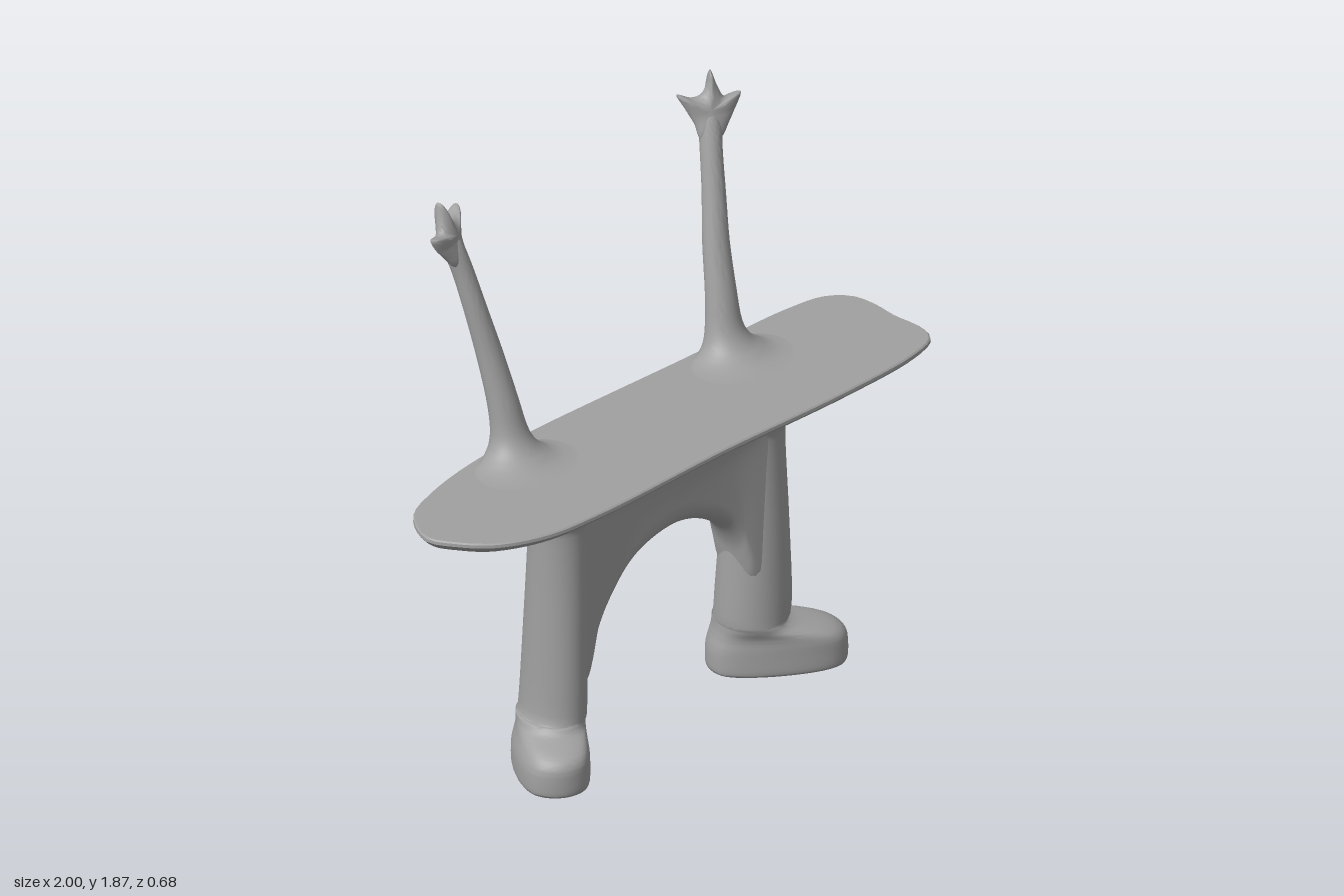
import * as THREE from 'three';
import { toCreasedNormals } from 'three/addons/utils/BufferGeometryUtils.js';

const material = new THREE.MeshStandardMaterial({ color: 0xa0a0a0 });
const V = (x, y, z) => new THREE.Vector3(x, y, z);

// Skin a stack of closed rings, cap both ends, and face the surface outwards
function loft(name, rings, crease = 1.2) {
  const n = rings[0].length, pts = rings.flat(), idx = [];
  for (let r = 0; r < rings.length - 1; r++) {
    for (let i = 0; i < n; i++) {
      const a = r * n + i, b = r * n + (i + 1) % n;
      idx.push(a, b, b + n, a, b + n, a + n);
    }
  }
  for (const end of [0, rings.length - 1]) {
    const centre = V(0, 0, 0);
    rings[end].forEach(p => centre.addScaledVector(p, 1 / n));
    const c = pts.push(centre) - 1;
    for (let i = 0; i < n; i++) {
      const a = end * n + i, b = end * n + (i + 1) % n;
      if (end) idx.push(a, b, c); else idx.push(b, a, c);
    }
  }
  let volume = 0;
  for (let i = 0; i < idx.length; i += 3) {
    volume += pts[idx[i]].dot(V(0, 0, 0).crossVectors(pts[idx[i + 1]], pts[idx[i + 2]]));
  }
  if (volume < 0) idx.reverse();
  const geo = new THREE.BufferGeometry().setFromPoints(pts);
  geo.setIndex(idx);
  const mesh = new THREE.Mesh(toCreasedNormals(geo, crease), material);
  mesh.name = name;
  return mesh;
}

// Smoothly subdivide rows of numbers
function refine(rows, steps = 4) {
  const out = [], at = i => rows[Math.min(Math.max(i, 0), rows.length - 1)];
  for (let i = 0; i < rows.length - 1; i++) {
    for (let s = 0; s < steps; s++) {
      const t = s / steps;
      out.push(at(i).map((p1, k) => {
        const p0 = at(i - 1)[k], p2 = at(i + 1)[k], p3 = at(i + 2)[k];
        const m1 = (p2 - p0) / 2, m2 = (p3 - p1) / 2;
        return p1 + m1 * t + (3 * (p2 - p1) - 2 * m1 - m2) * t * t
          + (2 * (p1 - p2) + m1 + m2) * t * t * t;
      }));
    }
  }
  out.push(at(rows.length - 1));
  return out;
}

// Oval ring; the half facing the toe is pushed out along (toeX, toeZ)
function oval(side, y, cx, cz, rx, rz, toeX = 0, toeZ = 0, n = 48) {
  const len = Math.hypot(toeX, toeZ) || 1;
  return Array.from({ length: n }, (_, i) => {
    const a = i / n * Math.PI * 2, c = Math.cos(a), s = Math.sin(a);
    const push = THREE.MathUtils.smoothstep((c * toeX + s * toeZ) / len, -0.8, 0.8);
    return V(side * (cx + rx * c + push * toeX), y, cz + rz * s + push * toeZ);
  });
}

// Long board with a sloping underside
function board() {
  const outline = [[-1, 0.07], [-0.93, -0.06], [-0.8, -0.12], [-0.56, -0.17], [-0.29, -0.18],
    [0.35, -0.17], [0.78, -0.167], [0.92, -0.14], [0.985, -0.075], [0.998, 0], [0.992, 0.09],
    [0.998, 0.21], [0.97, 0.275], [0.86, 0.312], [0.56, 0.33], [0.03, 0.324], [-0.5, 0.337],
    [-0.72, 0.317], [-0.88, 0.245], [-0.96, 0.155]];
  const curve = new THREE.CatmullRomCurve3(outline.map(([x, z]) => V(x, 0, z)), true);
  const profile = [[0.075, 0.937], [0.055, 0.943], [0.03, 0.958], [0.01, 0.974], [0, 0.986],
    [0.001, 0.996], [0.006, 1]];
  return loft('board', profile.map(([inset, y]) => Array.from({ length: 140 }, (_, i) => {
    const p = curve.getPointAt(i / 140), t = curve.getTangentAt(i / 140);
    return V(p.x - t.z * inset, y, p.z + t.x * inset);
  })), 0.6);
}

// Foot and leg in one skin. Rows: y, centre x, centre z, radius x, radius z, toe amount
function leg(name, side, heelX, toeX, shaft) {
  const foot = [[0, heelX, 0.055, 0.107, 0.107, 1], [0.012, heelX, 0.055, 0.115, 0.115, 1],
    [0.065, heelX, 0.055, 0.115, 0.115, 1], [0.095, heelX, 0.058, 0.111, 0.113, 0.97],
    [0.117, heelX, 0.061, 0.105, 0.111, 0.87], [0.133, heelX, 0.064, 0.102, 0.11, 0.68],
    [0.145, heelX, 0.067, 0.1, 0.111, 0.45], [0.157, heelX, 0.07, 0.099, 0.113, 0.22],
    [0.175, heelX, 0.073, 0.098, 0.116, 0.07]];
  return loft(name, refine([...foot, ...shaft.map(r => [...r, 0])])
    .map(([y, cx, cz, rx, rz, toe]) => oval(side, y, cx, cz, rx, rz, toeX * toe, 0.12 * toe)));
}

// Arched web between the legs, thickening into them and flaring into the board
function archWeb() {
  const arch = new THREE.CatmullRomCurve3([[-0.44, 0.2], [-0.4, 0.23], [-0.377, 0.29], [-0.355, 0.39],
    [-0.3, 0.49], [-0.205, 0.593], [-0.1, 0.64], [0.025, 0.655], [0.14, 0.622], [0.235, 0.553],
    [0.28, 0.475], [0.296, 0.4], [0.315, 0.32], [0.37, 0.24]].map(([x, y]) => V(x, y, 0)));
  const rings = [], half = 24, count = 64;
  for (let i = 0; i <= count; i++) {
    const t = i / count, a = arch.getPointAt(t), b = V(-0.45 + 0.845 * t, 0.945, 0);
    const toLeg = Math.pow(Math.abs(2 * t - 1), 2.5), front = [], back = [];
    for (let j = 0; j <= half; j++) {
      const w = (1 - Math.cos(Math.PI * j / half)) / 2, p = a.clone().lerp(b, w);
      const k = Math.max(0, 1 - a.distanceTo(p) / (0.07 + 0.06 * toLeg));
      const round = Math.sqrt(Math.max(0.003, 1 - k * k));
      const flare = 0.075 * (1 - toLeg) * Math.exp((p.y - 0.945) / 0.035);
      const h = (0.072 + 0.022 * toLeg) * round + flare;
      front.push(V(p.x, p.y, 0.085 + h));
      back.unshift(V(p.x, p.y, 0.084 - h - flare * 0.15));
    }
    rings.push([...front, ...back]);
  }
  return loft('archWeb', rings);
}

// Leaning arm whose root melts into the board
function arm(name, side) {
  const rows = [[0.9985, 0.465, -0.025, 0.2, 0.14], [1.0015, 0.465, -0.045, 0.165, 0.125],
    [1.008, 0.465, -0.064, 0.133, 0.108], [1.022, 0.465, -0.081, 0.105, 0.09],
    [1.05, 0.463, -0.1, 0.077, 0.07], [1.1, 0.463, -0.117, 0.06, 0.055],
    [1.2, 0.471, -0.138, 0.051, 0.047], [1.35, 0.488, -0.176, 0.044, 0.041],
    [1.5, 0.513, -0.211, 0.038, 0.037], [1.62, 0.533, -0.242, 0.035, 0.036],
    [1.69, 0.548, -0.262, 0.036, 0.036], [1.735, 0.557, -0.276, 0.034, 0.032],
    [1.765, 0.563, -0.287, 0.022, 0.022], [1.78, 0.566, -0.292, 0.008, 0.008]];
  return loft(name, refine(rows).map(r => oval(side, ...r, 0, 0, 32)));
}

// Three-pointed hand: a rounded lens in a tilted plane, bent at the wrist
function hand(name, side) {
  const outline = new THREE.CatmullRomCurve3([[0.512, 1.66], [0.508, 1.71], [0.492, 1.76], [0.475, 1.808],
    [0.515, 1.791], [0.545, 1.795], [0.57, 1.825], [0.585, 1.868], [0.597, 1.815], [0.612, 1.778],
    [0.635, 1.78], [0.662, 1.785], [0.643, 1.745], [0.608, 1.7], [0.574, 1.66], [0.542, 1.64]]
    .map(([x, y]) => V(x, y, 0)), true);
  const normal = V(-0.453, 0.247, 1).normalize(), rings = [], steps = 14;
  for (let r = 1; r < steps; r++) {
    const a = Math.PI * r / steps, scale = Math.sin(a), depth = -0.033 * Math.cos(a);
    rings.push(Array.from({ length: 80 }, (_, i) => {
      const p = outline.getPoint(i / 80);
      const x = 0.555 + (p.x - 0.555) * scale, y = 1.745 + (p.y - 1.745) * scale;
      const z = -0.278 + 0.453 * (x - 0.555) - 0.247 * (y - 1.72) + 0.22 * Math.max(0, 1.735 - y);
      const q = V(x, y, z).addScaledVector(normal, depth);
      q.x *= side;
      return q;
    }));
  }
  return loft(name, rings);
}

export function createModel() {
  const group = new THREE.Group();
  group.name = 'boardFigure';
  group.add(board(), archWeb());
  group.add(leg('rightLeg', -1, 0.47, 0.08, [[0.21, 0.463, 0.077, 0.092, 0.118],
    [0.5, 0.457, 0.082, 0.088, 0.108], [0.8, 0.45, 0.085, 0.09, 0.096], [0.86, 0.45, 0.083, 0.097, 0.102],
    [0.9, 0.45, 0.075, 0.118, 0.125], [0.925, 0.45, 0.065, 0.155, 0.165], [0.942, 0.45, 0.06, 0.22, 0.2]]));
  group.add(leg('leftLeg', 1, 0.375, 0.175, [[0.21, 0.397, 0.077, 0.122, 0.118],
    [0.5, 0.4, 0.082, 0.107, 0.108], [0.8, 0.395, 0.085, 0.097, 0.096], [0.86, 0.395, 0.083, 0.105, 0.102],
    [0.9, 0.395, 0.075, 0.13, 0.125], [0.925, 0.395, 0.065, 0.17, 0.165], [0.942, 0.395, 0.06, 0.23, 0.2]]));
  for (const [label, side] of [['left', 1], ['right', -1]]) {
    group.add(arm(label + 'Arm', side), hand(label + 'Hand', side));
  }
  return group;
}
